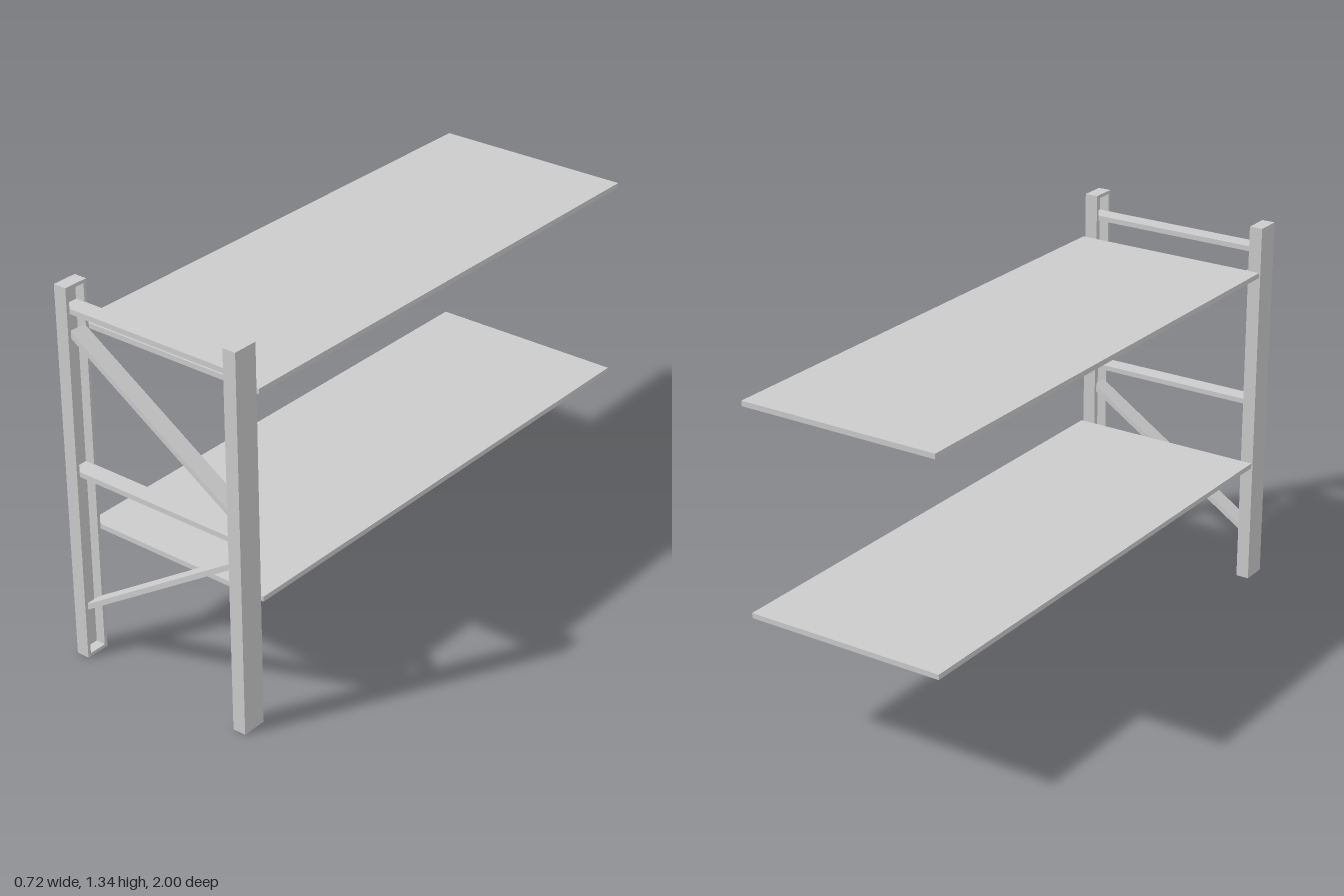
import * as THREE from 'three';

const H = 1.336, POST_W = 0.048, POST_D = 0.089, POST_Z = 0.9555;
const RIM = 0.012, WEB = 0.012;
const INNER_L = -0.313, INNER_R = 0.311;

export function createModel() {
  const group = new THREE.Group();
  const material = new THREE.MeshStandardMaterial({ color: 0xcccccc, flatShading: true });

  const add = (name, geometry, x, y, z, parent = group) => {
    const mesh = new THREE.Mesh(geometry, material);
    mesh.name = name;
    mesh.position.set(x, y, z);
    parent.add(mesh);
    return mesh;
  };
  const rectangle = (Path, w, h) => new Path([
    new THREE.Vector2(-w / 2, -h / 2), new THREE.Vector2(w / 2, -h / 2),
    new THREE.Vector2(w / 2, h / 2), new THREE.Vector2(-w / 2, h / 2),
  ]);

  // Upright posts: a rim around a long pocket that opens towards the other post
  const rimShape = rectangle(THREE.Shape, POST_D, H);
  rimShape.holes.push(rectangle(THREE.Path, POST_D - 2 * RIM, H - 2 * RIM));
  const rimGeometry = new THREE.ExtrudeGeometry(rimShape, { depth: POST_W, bevelEnabled: false });
  rimGeometry.translate(0, 0, -POST_W / 2).rotateY(Math.PI / 2);
  const webGeometry = new THREE.BoxGeometry(WEB, H - 2 * RIM, POST_D - 2 * RIM);
  for (const [name, side, inner] of [['rightPost', -1, INNER_L], ['leftPost', 1, INNER_R]]) {
    const post = new THREE.Group();
    post.name = name;
    post.position.set(inner + side * POST_W / 2, H / 2, POST_Z);
    add('postRim', rimGeometry, 0, 0, 0, post);
    add('postWeb', webGeometry, side * (POST_W - WEB) / 2, 0, 0, post);
    group.add(post);
  }

  // Flat bars between the posts, running into the pockets by the given reach
  const bar = (name, yLeft, yRight, thickness, reach) => {
    const dx = INNER_R - INNER_L, dy = yRight - yLeft;
    const length = Math.hypot(dx, dy) + 2 * reach;
    const mesh = add(name, new THREE.BoxGeometry(length, thickness, 0.064),
      (INNER_L + INNER_R) / 2, (yLeft + yRight) / 2, 0.953);
    mesh.rotation.z = Math.atan2(dy, dx);
  };
  bar('topCrossbar', 1.252, 1.252, 0.018, 0.035);
  bar('middleCrossbar', 0.683, 0.683, 0.018, 0.035);
  bar('upperDiagonalBrace', 1.168, 0.768, 0.018, 0.015);
  bar('lowerDiagonalBrace', 0.191, 0.592, 0.018, 0.015);

  // Two long shelves behind the frame
  const shelfGeometry = new THREE.BoxGeometry(0.722, 0.018, 1.902);
  add('lowerShelf', shelfGeometry, 0, 0.452, -0.049);
  add('upperShelf', shelfGeometry, 0, 1.17, -0.049);

  return group;
}
